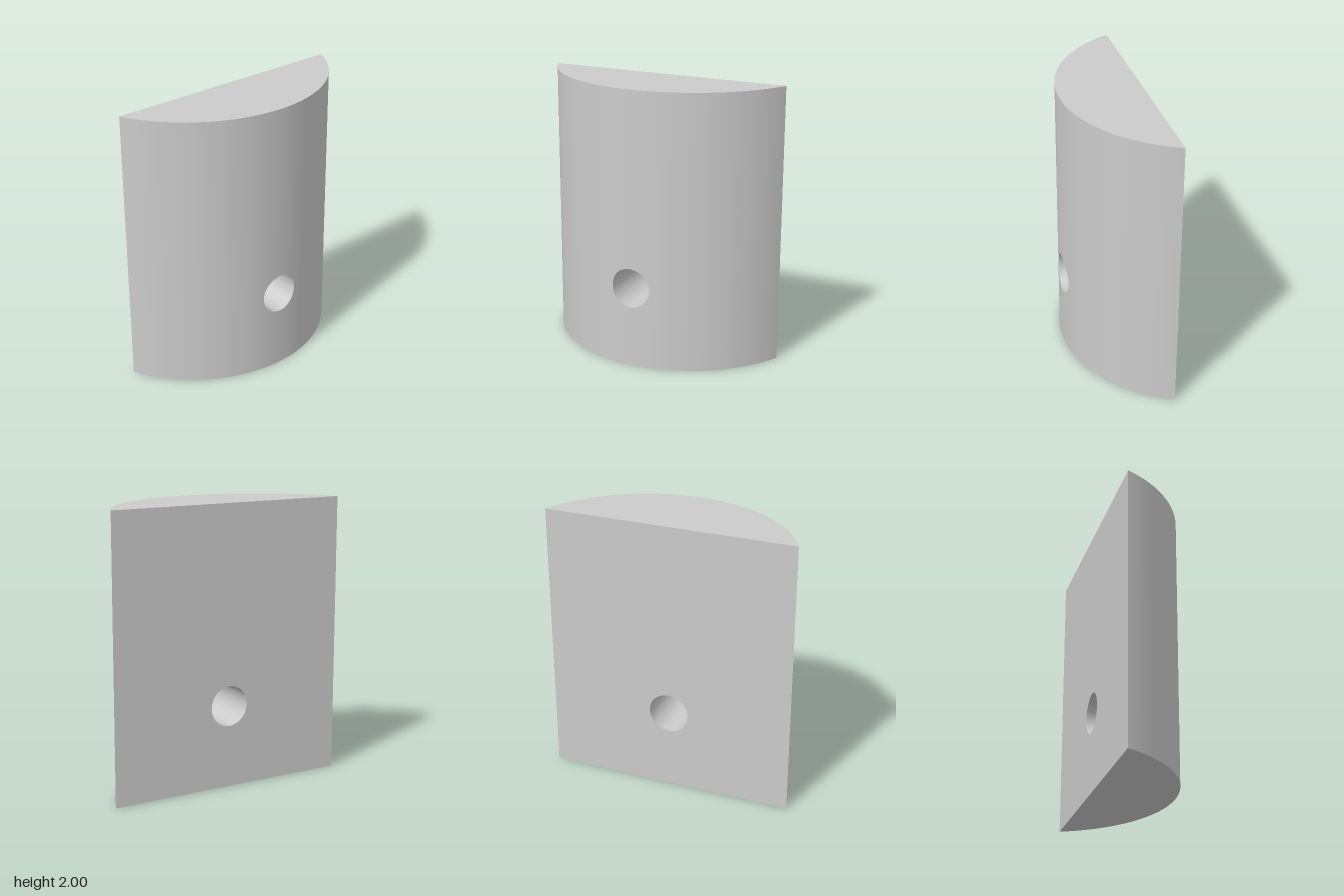
import * as THREE from 'three';

const W = 0.89, H = 2, D = 0.29;                    // half width, height, half depth
const R = (W * W + 4 * D * D) / (4 * D);            // radius of the curved front
const ZC = D - R;                                   // axis of the curved front
const HOLE_Y = 0.585, HOLE_R = 0.143;
const SIDE = 48, RINGS = 28;

const material = new THREE.MeshStandardMaterial({ color: 0xcccccc });
const frontZ = (x) => ZC + Math.sqrt(R * R - x * x);

// Ray number u (0..1) around the hole: its rim point and its point on the block's outline
const corners = [[W, 0], [W, H], [-W, H], [-W, 0]].map((c) => new THREE.Vector2(...c));
function ray(u) {
  const s = (u * 4) % 4, i = Math.floor(s);
  const outer = corners[i].clone().lerp(corners[(i + 1) % 4], s - i);
  const a = Math.atan2(outer.y - HOLE_Y, outer.x);
  const rim = new THREE.Vector2(HOLE_R * Math.cos(a), HOLE_Y + HOLE_R * Math.sin(a));
  return { rim, outer };
}

// Grid whose vertices and normals follow a rule of (u, t)
function surface(name, rows, rule) {
  const geometry = new THREE.PlaneGeometry(1, 1, SIDE * 4, rows);
  const { position, normal, uv } = geometry.attributes;
  for (let i = 0; i < position.count; i++) {
    const { p, n } = rule(uv.getX(i), 1 - uv.getY(i));
    position.setXYZ(i, p.x, p.y, p.z);
    n.normalize();
    normal.setXYZ(i, n.x, n.y, n.z);
  }
  const mesh = new THREE.Mesh(geometry, material);
  mesh.name = name;
  return mesh;
}

// Circular-segment end face; dir is +1 for the top, -1 for the bottom
function endCap(name, y, dir) {
  const shape = new THREE.Shape();
  const half = Math.asin(W / R);
  for (let i = 0; i <= 96; i++) {
    const a = half * (i / 48 - 1);
    const x = R * Math.sin(a), v = -dir * (ZC + R * Math.cos(a));
    if (i === 0) shape.moveTo(x, v);
    else shape.lineTo(x, v);
  }
  const mesh = new THREE.Mesh(new THREE.ShapeGeometry(shape).rotateX(-dir * Math.PI / 2), material);
  mesh.position.y = y;
  mesh.name = name;
  return mesh;
}

export function createModel() {
  const model = new THREE.Group();
  model.name = 'boredSegmentBlock';

  // Curved front, running from the hole's rim to the outline
  model.add(surface('curvedFront', RINGS, (u, t) => {
    const { rim, outer } = ray(u);
    const q = rim.lerp(outer, t), z = frontZ(q.x);
    return { p: new THREE.Vector3(q.x, q.y, z), n: new THREE.Vector3(q.x, 0, z - ZC) };
  }));

  // Flat back, running from the outline to the rim
  model.add(surface('flatBack', 1, (u, t) => {
    const { rim, outer } = ray(u);
    const q = outer.lerp(rim, t);
    return { p: new THREE.Vector3(q.x, q.y, -D), n: new THREE.Vector3(0, 0, -1) };
  }));

  // Wall of the through hole
  model.add(surface('holeWall', 1, (u, t) => {
    const { rim } = ray(u);
    const z = THREE.MathUtils.lerp(-D, frontZ(rim.x), t);
    return { p: new THREE.Vector3(rim.x, rim.y, z), n: new THREE.Vector3(-rim.x, HOLE_Y - rim.y, 0) };
  }));

  model.add(endCap('topFace', H, 1), endCap('bottomFace', 0, -1));
  return model;
}
